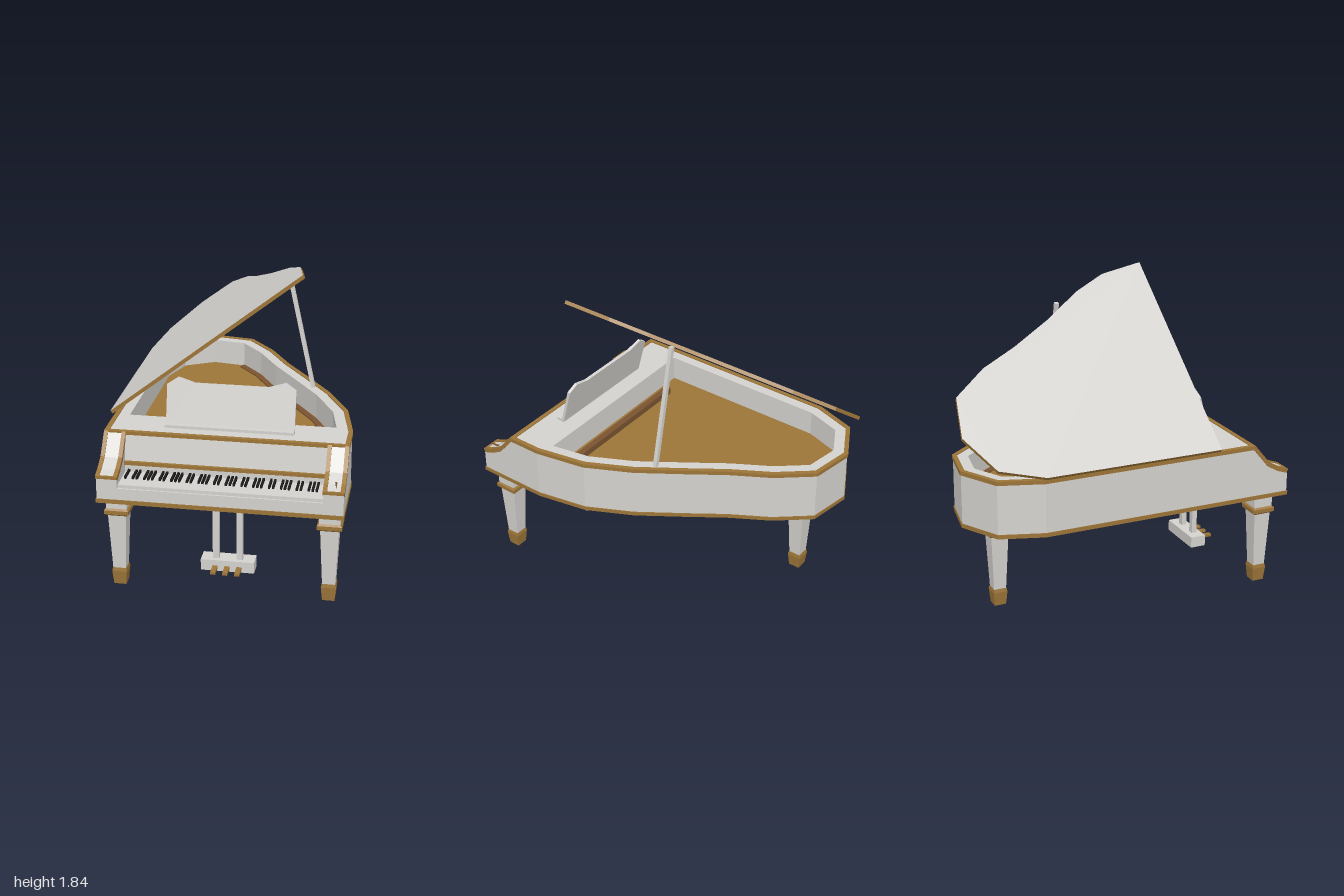
import * as THREE from 'three';

const material = (name, color) => Object.assign(new THREE.MeshStandardMaterial({ color }), { name });

export function createModel() {
  const white = material('ivory lacquer', 0xd4d2ce);
  const gold = material('gold wood', 0x9c7538);
  const brown = material('brown wood', 0x7a5430);
  const black = material('black', 0x1a1a1a);
  const model = new THREE.Group();

  const add = (name, geometry, mat, parent = model) => {
    const mesh = new THREE.Mesh(geometry, mat);
    mesh.name = name;
    parent.add(mesh);
    return mesh;
  };
  const box = (name, mat, x0, x1, y0, y1, z0, z1, parent) => {
    const mesh = add(name, new THREE.BoxGeometry(x1 - x0, y1 - y0, z1 - z0), mat, parent);
    mesh.position.set((x0 + x1) / 2, (y0 + y1) / 2, (z0 + z1) / 2);
    return mesh;
  };
  const vectors = (pts) => pts.map(([a, b]) => new THREE.Vector2(a, b));
  const extrude = (shape, depth) => new THREE.ExtrudeGeometry(shape, { depth, bevelEnabled: false });

  // horizontal slab from an [x, z] outline, with an optional hole
  const slab = (pts, y0, y1, hole) => {
    const flip = (p) => vectors(p.map(([x, z]) => [x, -z]));
    const shape = new THREE.Shape(flip(pts));
    if (hole) shape.holes.push(new THREE.Path(flip(hole)));
    return extrude(shape, y1 - y0).rotateX(-Math.PI / 2).translate(0, y0, 0);
  };
  // prism along x from a [z, y] profile
  const prism = (pts, x0, x1) =>
    extrude(new THREE.Shape(vectors(pts)), x1 - x0).rotateY(-Math.PI / 2).translate(x1, 0, 0);

  // move every edge of an outline inwards by d
  const inset = (pts, d) => {
    const n = pts.length;
    const normal = (p, q) => {
      const l = Math.hypot(q[0] - p[0], q[1] - p[1]);
      return [-(q[1] - p[1]) / l, (q[0] - p[0]) / l];
    };
    const side = THREE.ShapeUtils.area(vectors(pts)) > 0 ? 1 : -1;
    return pts.map((p, i) => {
      const a = normal(pts[(i + n - 1) % n], p);
      const b = normal(p, pts[(i + 1) % n]);
      const k = side * d / (1 + a[0] * b[0] + a[1] * b[1]);
      return [p[0] + (a[0] + b[0]) * k, p[1] + (a[1] + b[1]) * k];
    });
  };

  // case: curved outline, cut off at a given front z
  const curve = [
    [0.715, 0.55], [0.655, 0.235], [0.52, -0.035], [0.335, -0.31], [0.2, -0.505],
    [0.066, -0.735], [-0.1, -0.935], [-0.37, -0.98], [-0.61, -0.85], [-0.695, -0.59],
  ];
  const outline = (front) => [[0.715, front], ...curve, [-0.695, front]];
  const full = outline(0.995);
  const back = outline(0.76);
  const well = inset(outline(0.585), 0.085);
  add('caseBase', slab(full, 0.577, 0.67), white);
  add('bottomTrim', slab(inset(full, -0.005), 0.575, 0.6, inset(full, 0.015)), gold);
  add('rim', slab(back, 0.67, 0.92, well), white);
  add('topTrim', slab(inset(back, -0.005), 0.9, 0.925, inset(back, 0.022)), gold);

  // inside of the case
  add('soundboard', slab(well, 0.74, 0.76), gold);
  const ledge = inset(well, 0.04);
  add('curvedLedge', slab([...well.slice(0, 8), ...ledge.slice(0, 8).reverse()], 0.76, 0.768), brown);
  box('pinBlock', brown, -0.45, 0.55, 0.76, 0.8, 0.41, 0.45);

  // cheeks either side of the keys
  const slope = [[0.76, 0.92], [0.86, 0.8], [0.93, 0.76], [0.995, 0.737]];
  const cheekProfile = [...slope, [0.995, 0.67], [0.76, 0.67]];
  const band = [
    ...slope.map(([z, y]) => [z + 0.004, y + 0.005]),
    ...slope.map(([z, y]) => [z - 0.006, y - 0.02]).reverse(),
  ];
  for (const [x0, x1] of [[-0.695, -0.575], [0.6, 0.715]]) {
    add('cheek', prism(cheekProfile, x0, x1), white);
    add('cheekTrim', prism(band, x0 - 0.004, x0 + 0.02), gold);
    add('cheekTrim', prism(band, x1 - 0.02, x1 + 0.004), gold);
    box('cheekFrontTrim', gold, x0, x1, 0.725, 0.742, 0.985, 0.999);
  }

  // fallboard and keyboard
  add('fallboard', prism([[0.755, 0.905], [0.766, 0.905], [0.795, 0.74], [0.795, 0.67], [0.755, 0.67]], -0.575, 0.6), white);
  box('fallboardTrim', gold, -0.575, 0.6, 0.735, 0.756, 0.785, 0.81);
  box('whiteKeys', white, -0.572, 0.598, 0.665, 0.69, 0.79, 0.985);
  const keyWidth = 1.17 / 52;
  for (let i = 0; i < 51; i++) {
    // keys start on A; no black key after B or E
    if ([1, 4].includes(i % 7)) continue;
    const x = -0.572 + (i + 1) * keyWidth;
    box('blackKey', black, x - 0.006, x + 0.006, 0.689, 0.705, 0.79, 0.9);
  }

  // lid, hinged on the left
  const lidOutline = [
    [0, 0.52], [0, -0.59], [0.09, -0.855], [0.335, -0.995], [0.61, -0.95], [0.785, -0.735],
    [0.91, -0.5], [1.08, -0.23], [1.265, 0.02], [1.38, 0.235], [1.443, 0.52],
  ];
  const lid = add('lid', slab(lidOutline, 0, 0.022), [white, gold]);
  lid.position.set(-0.71, 0.928, 0);
  lid.rotation.z = 0.666;

  // lid prop
  const low = new THREE.Vector3(0.41, 0.92, -0.122);
  const high = new THREE.Vector3(0.248, 1.675, -0.122);
  const prop = add('lidProp', new THREE.BoxGeometry(0.025, low.distanceTo(high), 0.024), white);
  prop.position.copy(low).lerp(high, 0.5);
  prop.rotation.z = Math.atan2(low.x - high.x, high.y - low.y);

  // music desk
  box('deskLedge', white, -0.365, 0.39, 0.92, 0.937, 0.61, 0.66);
  const deskShape = new THREE.Shape(vectors([
    [-0.365, 0], [0.39, 0], [0.39, 0.24], [0.33, 0.28], [0.23, 0.25], [-0.2, 0.25], [-0.3, 0.28], [-0.365, 0.235],
  ]));
  const desk = add('musicDesk', extrude(deskShape, 0.018), white);
  desk.position.set(0, 0.925, 0.608);
  desk.rotation.x = -0.25;

  // square tapered legs: [bottom y, top y, bottom width, top width, material]
  const legParts = [
    ['foot', 0, 0.085, 0.072, 0.088, gold],
    ['footCap', 0.085, 0.107, 0.088, 0.08, gold],
    ['shaft', 0.107, 0.46, 0.076, 0.108, white],
    ['collarUnder', 0.455, 0.468, 0.11, 0.143, gold],
    ['collar', 0.468, 0.492, 0.143, 0.143, gold],
    ['collarTop', 0.492, 0.502, 0.143, 0.122, gold],
    ['legBlock', 0.502, 0.577, 0.122, 0.122, white],
  ];
  for (const [name, x, z] of [['frontLeg', -0.602, 0.855], ['frontLeg', 0.632, 0.855], ['backLeg', -0.27, -0.735]]) {
    const leg = new THREE.Group();
    leg.name = name;
    leg.position.set(x, 0, z);
    model.add(leg);
    for (const [part, y0, y1, w0, w1, mat] of legParts) {
      const g = new THREE.CylinderGeometry(w1 * Math.SQRT1_2, w0 * Math.SQRT1_2, y1 - y0, 4)
        .rotateY(Math.PI / 4).translate(0, (y0 + y1) / 2, 0).toNonIndexed();
      g.computeVertexNormals();
      add(part, g, mat, leg);
    }
  }

  // pedal lyre
  const lyre = new THREE.Group();
  lyre.name = 'pedalLyre';
  model.add(lyre);
  for (const x of [-0.058, 0.084]) box('lyrePost', white, x - 0.019, x + 0.019, 0.12, 0.58, 0.685, 0.718, lyre);
  box('pedalBox', white, -0.145, 0.175, 0.055, 0.125, 0.645, 0.745, lyre);
  for (const x of [-0.058, 0.014, 0.085]) box('pedal', gold, x - 0.015, x + 0.015, 0.074, 0.09, 0.74, 0.83, lyre);

  return model;
}
